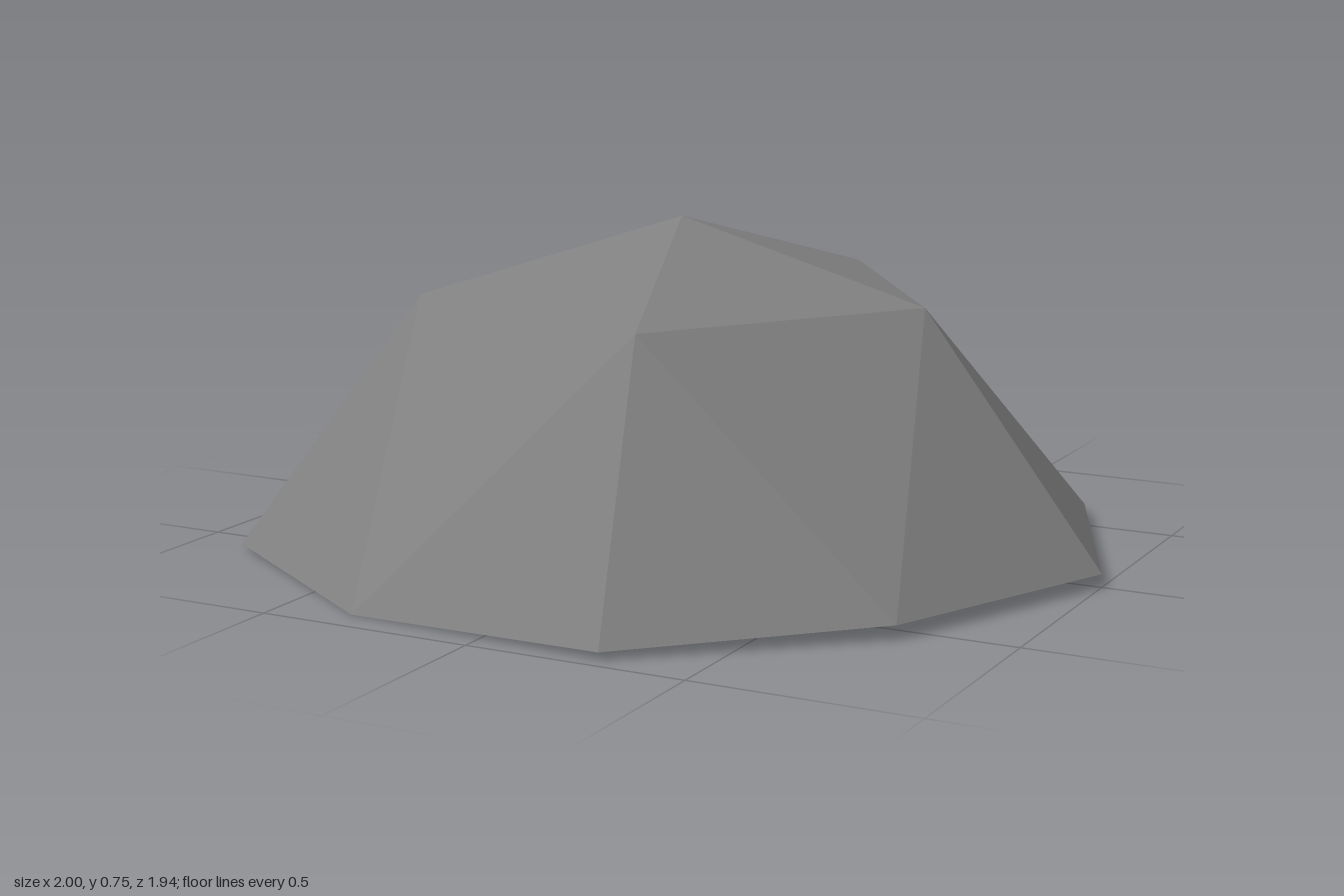
import * as THREE from 'three';

// Mirrors a half ring (first and last points on the x axis) or, without a
// point on the axis at its end, closes across it; angles run from +x to +z.
function mirrorRing(half) {
  const back = half.filter(([, , z]) => z > 0).reverse();
  return [...half, ...back.map(([x, y, z]) => [x, y, -z])];
}

export function createModel() {
  const group = new THREE.Group();
  group.name = 'facetedDome';
  const stone = new THREE.MeshStandardMaterial({ color: 0x808080, side: THREE.DoubleSide, flatShading: true });
  stone.name = 'grey';

  // Cross-sections of the shell: apex, five-point shoulder, ten-point rim
  const apex = [-0.03, 0.75, 0];
  const shoulder = mirrorRing([[0.575, 0.583, 0], [0.16, 0.583, 0.573], [-0.515, 0.583, 0.355]]);
  const rim = mirrorRing([
    [1, 0.03, 0], [0.76, 0.033, 0.572], [0.29, 0.018, 0.97],
    [-0.33, 0, 0.925], [-0.855, 0.013, 0.6], [-1, 0.018, 0],
  ]);

  const positions = [];
  const face = (a, b, c) => positions.push(...a, ...b, ...c);
  for (let i = 0; i < 5; i++) {
    const a = shoulder[i], b = shoulder[(i + 1) % 5];
    const r = (k) => rim[(2 * i + k + 10) % 10];
    face(apex, b, a); // cap
    face(a, b, r(1)); // wall facet pointing down
    face(a, r(1), r(0)); // two wall facets below the shoulder point
    face(a, r(0), r(-1));
  }

  const geometry = new THREE.BufferGeometry();
  geometry.setAttribute('position', new THREE.Float32BufferAttribute(positions, 3));
  geometry.computeVertexNormals();
  const dome = new THREE.Mesh(geometry, stone);
  dome.name = 'domeShell';
  group.add(dome);
  return group;
}
